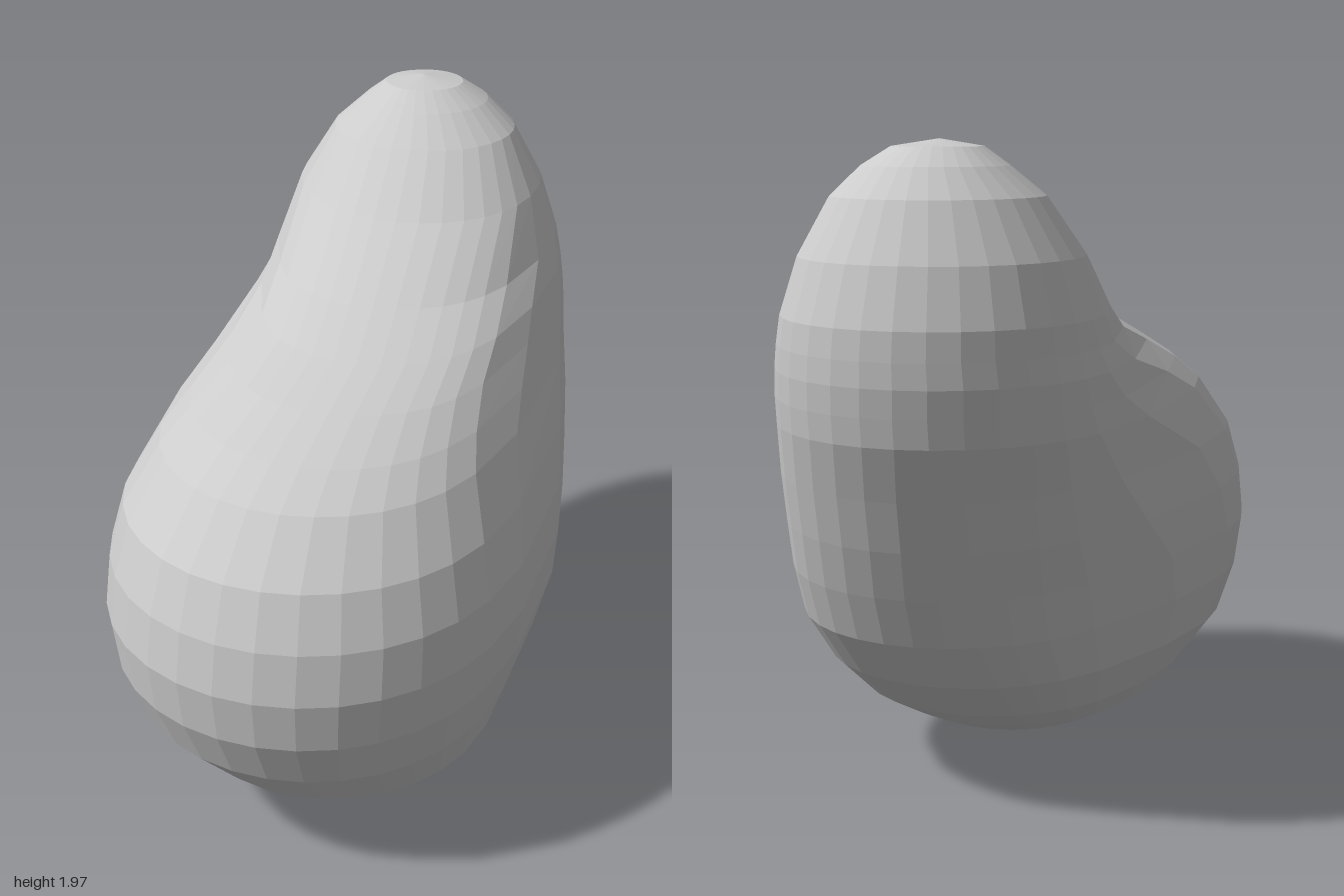
import * as THREE from 'three';

// Horizontal slices: y, xMin, xMax, zMin, zMax, radius of front lobe, radius of back lobe
const slices = [
  [0.03, -0.17, 0.16, 0.12, 0.45, 0.165, 0.16],
  [0.09, -0.32, 0.30, -0.06, 0.60, 0.29, 0.28],
  [0.16, -0.47, 0.41, -0.21, 0.70, 0.40, 0.37],
  [0.25, -0.58, 0.52, -0.36, 0.82, 0.47, 0.42],
  [0.40, -0.71, 0.63, -0.53, 0.92, 0.54, 0.45],
  [0.56, -0.77, 0.71, -0.64, 0.98, 0.58, 0.46],
  [0.72, -0.79, 0.74, -0.72, 1.00, 0.60, 0.46],
  [0.875, -0.77, 0.755, -0.80, 0.98, 0.59, 0.46],
  [1.03, -0.72, 0.77, -0.87, 0.92, 0.55, 0.46],
  [1.19, -0.60, 0.78, -0.95, 0.79, 0.47, 0.46],
  [1.27, -0.50, 0.785, -0.97, 0.68, 0.42, 0.46],
  [1.35, -0.37, 0.785, -0.99, 0.53, 0.37, 0.46],
  [1.42, -0.25, 0.78, -0.995, 0.36, 0.35, 0.45],
  [1.50, -0.17, 0.77, -1.00, 0.16, 0.35, 0.44],
  [1.66, -0.06, 0.72, -0.97, -0.11, 0.36, 0.39],
  [1.82, 0.07, 0.63, -0.90, -0.31, 0.28, 0.29],
  [1.90, 0.15, 0.55, -0.83, -0.43, 0.20, 0.20],
  [1.95, 0.23, 0.46, -0.76, -0.52, 0.12, 0.12],
];
const SIDES = 32;

// Point with the given outward direction on a softened hull of the front and back lobe circles
function slicePoint([y, x0, x1, z0, z1, rf, rb], angle) {
  const front = new THREE.Vector2(x0 + rf, z1 - rf);
  const back = new THREE.Vector2(x1 - rb, z0 + rb);
  const centre = front.clone().add(back).multiplyScalar(0.5);
  const half = front.clone().sub(back).multiplyScalar(0.5);
  const normal = new THREE.Vector2(Math.cos(angle), Math.sin(angle));
  const tangent = new THREE.Vector2(-normal.y, normal.x);

  const bulge = 0.18 * half.length();
  const side = half.dot(normal) + (rf - rb) / 2;
  const soft = Math.hypot(side, bulge) + 1e-6;
  const out = (rf + rb) / 2 - 0.12 * bulge + soft;
  const along = (side * half.dot(tangent)) / soft;
  const p = centre.addScaledVector === undefined
    ? centre.add(normal.multiplyScalar(out)).add(tangent.multiplyScalar(along))
    : centre.addScaledVector(normal, out).addScaledVector(tangent, along);
  return [p.x, y, p.y];
}

function bodyGeometry() {
  const points = [], index = [];
  for (const slice of slices)
    for (let j = 0; j < SIDES; j++) points.push(...slicePoint(slice, (j / SIDES) * Math.PI * 2));
  const bottom = points.length / 3, top = bottom + 1;
  points.push(0, 0, 0.28, 0.34, 1.97, -0.64);

  const last = (slices.length - 1) * SIDES;
  for (let j = 0; j < SIDES; j++) {
    const k = (j + 1) % SIDES;
    index.push(bottom, j, k, top, last + k, last + j);
    for (let row = 0; row < last; row += SIDES) {
      const a = row + j, b = row + k, c = a + SIDES, d = b + SIDES;
      index.push(a, c, b, b, c, d);
    }
  }
  const indexed = new THREE.BufferGeometry();
  indexed.setAttribute('position', new THREE.Float32BufferAttribute(points, 3));
  indexed.setIndex(index);
  const geometry = indexed.toNonIndexed();
  geometry.computeVertexNormals();
  return geometry;
}

export function createModel() {
  const group = new THREE.Group();
  group.name = 'blob';
  const body = new THREE.Mesh(
    bodyGeometry(),
    new THREE.MeshStandardMaterial({ color: 0xcccccc, flatShading: true })
  );
  body.name = 'body';
  group.add(body);
  return group;
}
